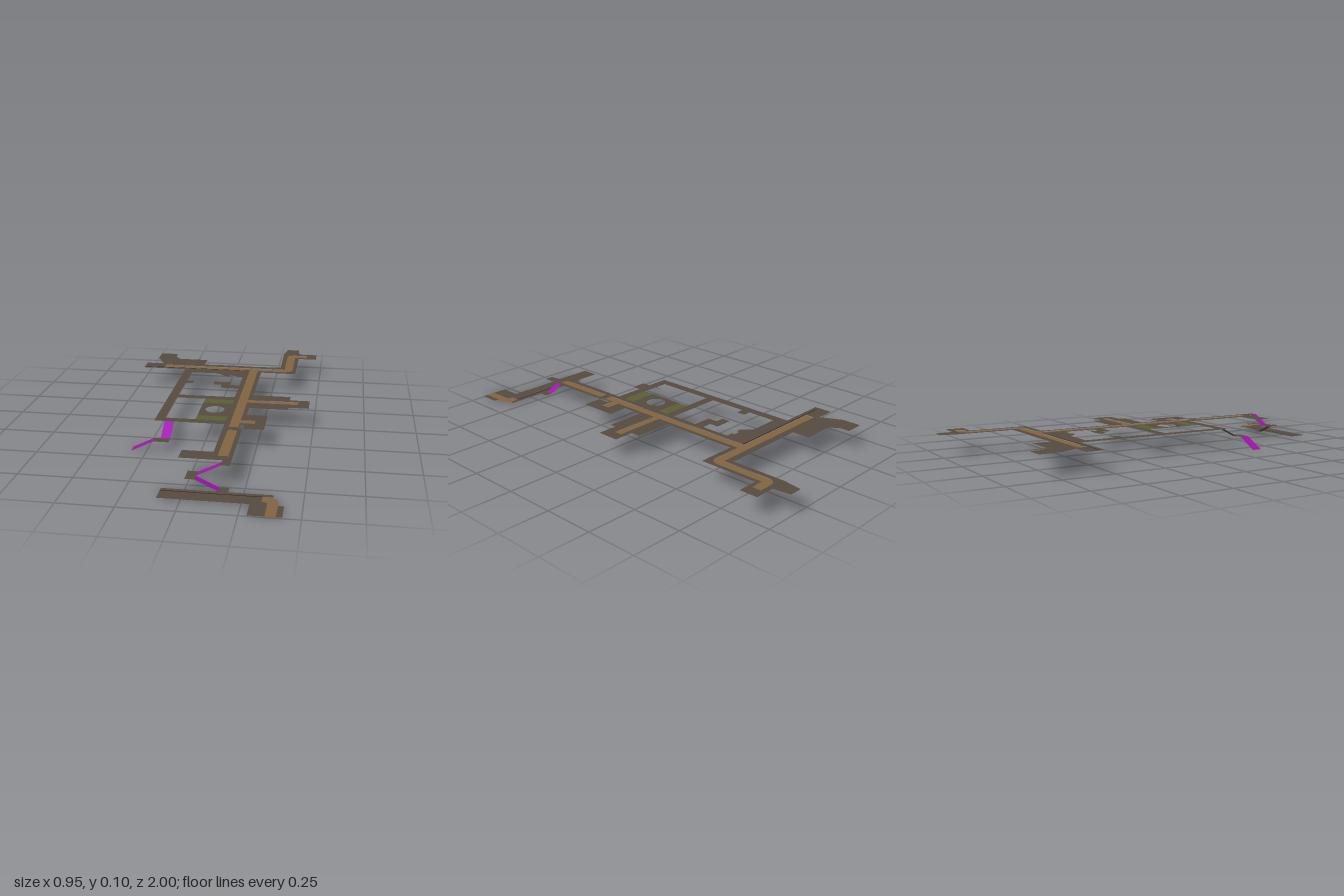
import * as THREE from 'three';

const mat = (name, color, side = THREE.DoubleSide) => {
  const m = new THREE.MeshStandardMaterial({ color, side });
  m.name = name;
  return m;
};

export function createModel() {
  const group = new THREE.Group();
  const stone = mat('stone', 0x544a3e);
  const dirt = mat('dirt', 0x80623f);
  const moss = mat('moss', 0x5a5e34);
  const seamDark = mat('seam', 0x2c251c);
  const purple = mat('purple', 0xa010b0, THREE.FrontSide);

  // Points are [x, z]; four numbers make a quadratic bend [controlX, controlZ, x, z]
  const trace = (pts, path = new THREE.Shape()) => {
    pts.forEach((p, i) => {
      if (i === 0) path.moveTo(p[0], -p[1]);
      else if (p.length === 4) path.quadraticCurveTo(p[0], -p[1], p[2], -p[3]);
      else path.lineTo(p[0], -p[1]);
    });
    path.closePath();
    return path;
  };
  const add = (name, geometry, material) => {
    const mesh = new THREE.Mesh(geometry, material);
    mesh.name = name;
    group.add(mesh);
  };
  const slab = (name, shape, y, material) =>
    add(name, new THREE.ShapeGeometry(shape, 8).rotateX(-Math.PI / 2).translate(0, y, 0), material);
  const rect = (name, x0, x1, z0, z1, y, material = stone) =>
    slab(name, trace([[x0, z0], [x1, z0], [x1, z1], [x0, z1]]), y, material);

  const TOP = 0.1, MID = 0.05, LOW = 0.0025, SUNK = 0.0025;

  // Sunken paths of the upper level
  const longPath = [
    [-0.36, -0.605], [0.31, -0.605], [0.31, -0.84], [0.31, -0.89, 0.36, -0.89],
    [0.42, -0.89], [0.42, -0.845], [0.355, -0.845], [0.355, -0.61], [0.355, -0.56, 0.305, -0.56],
    [0.165, -0.56], [0.165, -0.075], [0.42, -0.075], [0.42, -0.035], [0.165, -0.035],
    [0.165, 0.21], [0.235, 0.21], [0.235, 0.255], [0.165, 0.255], [0.165, 0.31],
    [0.12, 0.31], [0.12, -0.56], [-0.36, -0.56],
  ];
  const shortPath = [[0.125, 0.345], [0.16, 0.345], [0.165, 0.36], [0.165, 0.655], [0.12, 0.655], [0.12, 0.36]];

  // Main upper floor, cut open where the paths lie
  const floor = trace([
    [-0.475, -0.625], [-0.38, -0.625], [-0.43, -0.725], [-0.43, -0.82], [-0.335, -0.82],
    [-0.335, -0.77], [-0.305, -0.725], [-0.145, -0.725], [-0.145, -0.635], [0, -0.64],
    [0.14, -0.635], [0.285, -0.64], [0.285, -0.91], [0.3, -1], [0.365, -1], [0.375, -0.915],
    [0.475, -0.915], [0.475, -0.825], [0.375, -0.825], [0.375, -0.535], [0.185, -0.535],
    [0.185, -0.15], [0.375, -0.15], [0.375, -0.1], [0.475, -0.1], [0.475, 0.01], [0.375, 0.01],
    [0.375, 0.04], [0.185, 0.04], [0.185, 0.14], [0.285, 0.14], [0.285, 0.325], [0.19, 0.325],
    [0.19, 0.265], [0.17, 0.265], [0.17, 0.325], [0.185, 0.325], [0.185, 0.7], [-0.045, 0.7],
    [-0.045, 0.615], [0.095, 0.615], [0.095, -0.44], [0.06, -0.44], [0.06, -0.455],
    [0.025, -0.455], [0.025, -0.44], [0, -0.44], [-0.045, -0.485], [-0.195, -0.485],
    [-0.195, -0.535], [-0.475, -0.535],
  ]);
  floor.holes.push(trace(longPath, new THREE.Path()), trace(shortPath, new THREE.Path()));
  slab('upperFloor', floor, TOP, stone);
  slab('longPath', trace(longPath), TOP - SUNK, dirt);
  slab('shortPath', trace(shortPath), TOP - SUNK, dirt);
  rect('upperSeam', -0.46, 0.12, -0.558, -0.553, TOP + 0.0005, seamDark);

  // Side corridors and loose ledges
  rect('leftCorridor', -0.24, -0.195, -0.535, 0.28, TOP);
  rect('middleCorridor', -0.195, 0.095, -0.105, -0.06, TOP);
  rect('frontCorridor', -0.195, 0.095, 0.235, 0.28, TOP);
  rect('leftLedge', -0.195, -0.155, -0.34, -0.295, TOP);
  slab('steppedLedge', trace([
    [-0.045, -0.34], [0.045, -0.34], [0.045, -0.295], [0.095, -0.295],
    [0.095, -0.245], [0, -0.245], [0, -0.295], [-0.045, -0.295],
  ]), TOP, stone);

  // Central room with a round opening between two mossy strips
  const room = trace([[-0.05, -0.005], [0.095, -0.005], [0.095, 0.18], [-0.05, 0.18]]);
  room.holes.push(new THREE.Path().absarc(0.022, -0.087, 0.047, 0, Math.PI * 2, true));
  slab('centralRoom', room, TOP, stone);
  rect('backMoss', -0.05, 0.095, -0.06, -0.005, TOP, moss);
  rect('frontMoss', -0.05, 0.095, 0.18, 0.235, TOP, moss);

  // Ramps: corner heights run back-left, back-right, front-right, front-left in x and z
  const sheet = (x0, x1, z0, z1, h, drop) => {
    const g = new THREE.BufferGeometry();
    g.setAttribute('position', new THREE.Float32BufferAttribute([
      x0, h[0] - drop, z0, x1, h[1] - drop, z0, x1, h[2] - drop, z1, x0, h[3] - drop, z1], 3));
    g.setIndex([0, 2, 1, 0, 3, 2]);
    g.computeVertexNormals();
    return g;
  };
  const ramp = (name, x0, x1, z0, z1, h) => {
    add(name, sheet(x0, x1, z0, z1, h, 0), purple);
    add(name + 'Underside', sheet(x0, x1, z0, z1, h, 0.002), stone);
  };
  ramp('leftUpperRamp', -0.19, -0.145, 0.28, 0.375, [TOP, TOP, MID, MID]);
  rect('leftLanding', -0.22, -0.145, 0.375, 0.42, MID);
  ramp('leftLowerRamp', -0.32, -0.22, 0.375, 0.42, [0, MID, MID, 0]);

  rect('frontUpperLanding', 0.145, 0.185, 0.7, 0.755, TOP);
  ramp('frontUpperRamp', 0.045, 0.145, 0.72, 0.755, [MID, TOP, TOP, MID]);
  rect('frontMiddleLanding', 0, 0.045, 0.718, 0.802, MID);
  ramp('frontLowerRamp', 0.045, 0.145, 0.765, 0.802, [MID, LOW, LOW, MID]);
  rect('frontLowerLanding', 0.145, 0.185, 0.762, 0.806, LOW);

  // Lower level with its bent path
  slab('lowerFloor', trace([
    [-0.1, 0.805], [0.375, 0.805], [0.375, 0.825], [0.33, 0.825], [0.33, 0.87], [0.355, 0.88],
    [0.355, 1], [0.285, 1], [0.285, 0.9], [-0.1, 0.9],
  ]), LOW, stone);
  rect('lowerFloorEdge', 0.4, 0.425, 0.9, 1, LOW);
  slab('lowerPath', trace([
    [0.33, 0.825], [0.36, 0.825], [0.4, 0.83, 0.4, 0.88], [0.4, 1], [0.355, 1], [0.355, 0.88], [0.33, 0.87],
  ]), LOW - SUNK, dirt);
  rect('lowerSeam', -0.1, 0.33, 0.826, 0.831, LOW + 0.0005, seamDark);

  return group;
}
